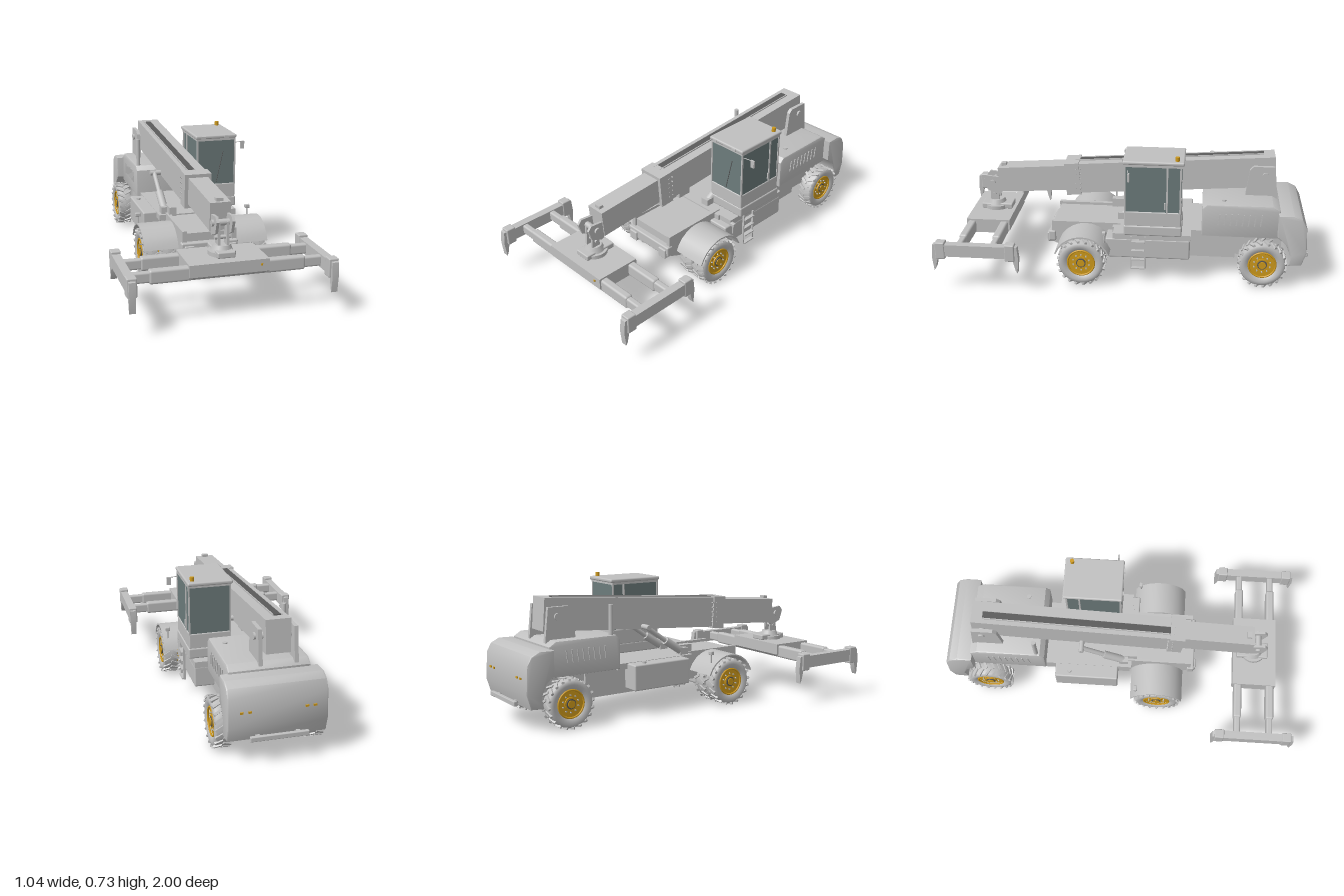
import * as THREE from 'three';
import { mergeGeometries, toCreasedNormals } from 'three/addons/utils/BufferGeometryUtils.js';
import { RoundedBoxGeometry } from 'three/addons/geometries/RoundedBoxGeometry.js';

const CX = 0.0475; // chassis centre line, the boom sits beside it at x = 0

export function createModel() {
  const root = new THREE.Group();
  root.name = 'mobileLiftingMachine';
  const mat = (name, color) => {
    const m = new THREE.MeshStandardMaterial({ color });
    m.name = name;
    return m;
  };
  const grey = mat('bodyGrey', 0xc0c0c0);
  const dark = mat('darkGrey', 0x5a5a5a);
  const glass = mat('tintedGlass', 0x6c7b7b);
  const gold = mat('amber', 0xcf9a1c);

  const add = (name, geo, m = grey, parent = root) => {
    const mesh = new THREE.Mesh(geo, m);
    mesh.name = name;
    parent.add(mesh);
    return mesh;
  };
  // box from its limits, optionally with rounded edges
  const box = (name, x0, x1, y0, y1, z0, z1, m = grey, r = 0) => {
    const s = [x1 - x0, y1 - y0, z1 - z0];
    const g = r ? new RoundedBoxGeometry(...s, 2, r) : new THREE.BoxGeometry(...s);
    return add(name, g.translate((x0 + x1) / 2, (y0 + y1) / 2, (z0 + z1) / 2), m);
  };
  // side profile of [z, y] points, extruded from x0 to x1
  const prof = (name, pts, x0, x1, m = grey, b = 0) => {
    const g = new THREE.ExtrudeGeometry(new THREE.Shape(pts.map(p => new THREE.Vector2(...p))), {
      depth: x1 - x0 - 2 * b, bevelEnabled: b > 0, bevelSize: b, bevelThickness: b, bevelOffset: -b, bevelSegments: 2,
    });
    return add(name, toCreasedNormals(g.rotateY(-Math.PI / 2).translate(x1 - b, 0, 0), 0.6), m);
  };
  // round bar between two points
  const rod = (name, a, b, r, m = grey, r2 = r) => {
    const p = new THREE.Vector3(...a), q = new THREE.Vector3(...b);
    const mesh = add(name, new THREE.CylinderGeometry(r2, r, p.distanceTo(q), 20), m);
    mesh.position.copy(p).add(q).multiplyScalar(0.5);
    mesh.quaternion.setFromUnitVectors(new THREE.Vector3(0, 1, 0), q.sub(p).normalize());
    return mesh;
  };

  // ---- wheels ----
  const R = 0.132, W = 0.084;
  const tyreGeo = new THREE.LatheGeometry([
    [0.074, -0.3], [0.08, -0.42], [0.1, -0.5], [0.116, -0.46], [0.123, -0.36],
    [0.125, 0], [0.123, 0.36], [0.116, 0.46], [0.1, 0.5], [0.08, 0.42], [0.074, 0.3],
  ].map(([r, y]) => new THREE.Vector2(r, y * W)), 40).rotateZ(-Math.PI / 2);
  const lugs = [];
  for (let i = 0; i < 20; i++) for (const s of [-1, 1]) {
    lugs.push(new THREE.BoxGeometry(W * 0.54, 0.012, 0.013).rotateY(s * 0.5)
      .translate(s * W * 0.25, R - 0.007, 0).rotateX((i + (s > 0 ? 0.5 : 0)) * Math.PI / 10));
  }
  const lugGeo = mergeGeometries(lugs);
  const disc = (r, w) => new THREE.CylinderGeometry(r, r, w, 32).rotateZ(Math.PI / 2);
  const bolts = [];
  for (let i = 0; i < 10; i++) bolts.push(disc(0.004, W * 0.72).translate(0, 0.045, 0).rotateX(i * Math.PI / 5));
  const boltGeo = mergeGeometries(bolts);
  const wheel = (name, x, z) => {
    const g = new THREE.Group();
    g.name = name;
    g.position.set(x, R, z);
    add('tyre', tyreGeo, grey, g);
    add('tread', lugGeo, grey, g);
    add('rimDisc', disc(0.075, W * 0.56), gold, g);
    for (const s of [-1, 1]) {
      add('rimLip', new THREE.TorusGeometry(0.072, 0.005, 8, 36).rotateY(Math.PI / 2).translate(s * W * 0.38, 0, 0), gold, g);
    }
    add('hubFlange', disc(0.034, W * 0.74), gold, g);
    add('hubRing', disc(0.026, W * 0.84), dark, g);
    add('hubCap', disc(0.02, W * 0.94), gold, g);
    add('bolts', boltGeo, grey, g);
    root.add(g);
  };
  for (const s of [-1, 1]) {
    wheel('frontOuterWheel', CX + s * 0.3, 0.225);
    wheel('frontInnerWheel', CX + s * 0.212, 0.225);
    wheel('rearWheel', CX + s * 0.237, -0.745);
    // arched front fender
    const arc = [];
    for (let i = 0; i <= 10; i++) arc.push([0.157, 0.35 + i * 0.244]);
    for (let i = 10; i >= 0; i--) arc.push([0.149, 0.35 + i * 0.244]);
    const fx = CX + s * 0.25;
    prof('frontFender', arc.map(([r, a]) => [0.22 + r * Math.cos(a), R + r * Math.sin(a)]), fx - 0.0925, fx + 0.0925);
    box('workLight', CX + s * 0.3175 - 0.014, CX + s * 0.3175 + 0.014, 0.295, 0.316, 0.09, 0.11, grey, 0.004);
    rod('workLightStem', [CX + s * 0.3175, 0.25, 0.1], [CX + s * 0.3175, 0.3, 0.1], 0.004);
  }

  // ---- chassis ----
  prof('mainFrame', [[0.4, 0.26], [0.4, 0.16], [0.33, 0.13], [-0.85, 0.13], [-0.85, 0.26]], -0.095, 0.19);
  for (const s of [-1, 1]) box('frameRail', CX + s * 0.145 - 0.012, CX + s * 0.145 + 0.012, 0.115, 0.27, -0.6, 0.06);
  for (const z of [0.225, -0.745]) {
    rod('axle', [CX - 0.24, R, z], [CX + 0.24, R, z], 0.035);
    box('differential', CX - 0.0875, CX + 0.0875, 0.08, 0.19, z - 0.06, z + 0.06, grey, 0.012);
  }
  box('deck', -0.14, 0.23, 0.25, 0.282, -0.42, 0.07);
  box('frontDeck', -0.095, 0.19, 0.25, 0.275, 0.07, 0.4);
  box('frontBeam', -0.11, 0.2, 0.17, 0.23, 0.39, 0.43, grey, 0.008);
  for (const s of [-1, 1]) {
    box('frontTowBlock', CX + s * 0.115 - 0.027, CX + s * 0.115 + 0.027, 0.16, 0.215, 0.4, 0.44, grey, 0.006);
    box('frontSideRail', CX + s * 0.137 - 0.012, CX + s * 0.137 + 0.012, 0.23, 0.29, 0.03, 0.41);
  }
  box('leftSideTank', 0.19, 0.31, 0.14, 0.252, -0.355, 0.1, grey, 0.008);
  box('rightSideTank', -0.215, -0.11, 0.14, 0.28, -0.36, -0.005, grey, 0.008);
  box('leftPlatform', 0.19, 0.31, 0.25, 0.283, -0.36, 0.06);
  rod('fillerCap', [-0.18, 0.278, -0.28], [-0.18, 0.29, -0.28], 0.012);
  box('valveBlock', -0.09, -0.05, 0.28, 0.33, 0.02, 0.1);

  // boarding ladder
  for (const z of [-0.04, -0.115]) box('ladderRail', 0.309, 0.322, 0.08, 0.27, z - 0.003, z + 0.003);
  for (let i = 0; i < 4; i++) box('ladderStep', 0.308, 0.33, 0.082 + i * 0.052, 0.088 + i * 0.052, -0.115, -0.04);

  // ---- engine housing and counterweight ----
  prof('engineHousing', [[-0.415, 0.26], [-0.415, 0.42], [-0.44, 0.445], [-0.79, 0.445], [-0.83, 0.42], [-0.83, 0.26]],
    -0.16, 0.255, grey, 0.008);
  for (let i = 0; i < 8; i++) for (const x of [-0.162, 0.257]) {
    const z = -0.5 - i * 0.032;
    prof('ventSlat', [[z, 0.33], [z - 0.006, 0.33], [z - 0.014, 0.395], [z - 0.008, 0.395]], x - 0.003, x + 0.003);
  }
  prof('counterweight', [[-0.82, 0.41], [-0.9, 0.412], [-0.945, 0.39], [-0.97, 0.345], [-0.978, 0.2], [-0.955, 0.125],
    [-0.88, 0.12], [-0.892, 0.18], [-0.868, 0.24], [-0.82, 0.285]], -0.2, 0.295, grey, 0.008);
  box('rearBumperBar', -0.1, 0.19, 0.13, 0.155, -1, -0.98, grey, 0.004);
  for (const s of [-1, 1]) {
    box('bumperBracket', CX + s * 0.1 - 0.01, CX + s * 0.1 + 0.01, 0.135, 0.15, -0.985, -0.95);
    for (const d of [-0.02, 0.02]) {
      const x = CX + s * 0.16 + d;
      box('rearLamp', x - 0.008, x + 0.008, 0.27, 0.28, -0.979, -0.971, gold);
    }
  }
  rod('exhaustStack', [-0.14, 0.42, -0.46], [-0.14, 0.605, -0.46], 0.012);
  rod('hoodCap', [0.19, 0.44, -0.53], [0.19, 0.452, -0.53], 0.012);

  // ---- boom ----
  const top = z => 0.598 - 0.07 * z;
  const beam = (name, z0, z1, up, down, w, m = grey) => prof(name, [[z0, top(z0) + up], [z1, top(z1) + up],
    [z1 - (up - down) * 0.07, top(z1) + down], [z0 - (up - down) * 0.07, top(z0) + down]], -w, w, m);
  beam('outerBoom', -0.8, 0.33, 0, -0.17, 0.063);
  beam('innerBoom', 0.2, 0.735, -0.012, -0.155, 0.053);
  beam('boomCollar', 0.275, 0.355, 0.006, -0.178, 0.072);
  for (const s of [-1, 1]) {
    for (let i = 0; i < 5; i++) for (const z of [0.265, 0.29]) {
      const y = top(z) - 0.03 - i * 0.028;
      rod('wearPadBolt', [s * 0.06, y, z], [s * 0.075, y, z], 0.004);
    }
    // rear mounting tower and lift cylinder
    const px = s * 0.09;
    prof('boomPivotPlate', [[-0.645, 0.43], [-0.665, 0.59], [-0.685, 0.61], [-0.8, 0.61], [-0.82, 0.43]], px - 0.01, px + 0.01);
    rod('liftCylinder', [s * 0.1, 0.3, 0.02], [s * 0.1, 0.37, -0.09], 0.022);
    rod('liftRod', [s * 0.1, 0.37, -0.09], [s * 0.1, 0.455, -0.21], 0.013);
    box('liftCylinderFoot', s * 0.1 - 0.022, s * 0.1 + 0.022, 0.28, 0.32, 0, 0.05);
  }
  rod('liftPin', [-0.125, 0.455, -0.21], [0.125, 0.455, -0.21], 0.014);
  rod('boomPivotPin', [-0.11, 0.56, -0.75], [0.11, 0.56, -0.75], 0.018);
  const strip = beam('boomTopSlot', -0.74, 0.3, 0.005, -0.002, 0.018, dark);
  strip.position.x = -0.014;
  for (const x of [-0.036, 0.008]) beam('slotEdge', -0.74, 0.3, 0.007, -0.002, 0.003).position.x = x;
  box('boomTipBlock', -0.018, 0.018, 0.53, 0.552, 0.695, 0.72);

  // boom head with hinge and rotator
  for (const s of [-1, 1]) {
    const x = s * 0.04;
    prof('headPlate', [[0.7, 0.4], [0.7, 0.475], [0.8, 0.485], [0.82, 0.46], [0.8, 0.4], [0.74, 0.375]], x - 0.007, x + 0.007);
    prof('hangerLink', [[0.75, 0.45], [0.785, 0.45], [0.79, 0.33], [0.74, 0.33]], s * 0.022 - 0.006, s * 0.022 + 0.006);
  }
  rod('headPin', [-0.058, 0.445, 0.768], [0.058, 0.445, 0.768], 0.016);
  rod('lowerPin', [-0.04, 0.37, 0.765], [0.04, 0.37, 0.765], 0.01);
  rod('rotatorBase', [0, 0.28, 0.76], [0, 0.305, 0.76], 0.07);
  rod('rotatorBody', [0, 0.305, 0.76], [0, 0.335, 0.76], 0.055, grey, 0.042);
  box('rotatorBlock', -0.045, 0.045, 0.285, 0.315, 0.665, 0.84, grey, 0.006);

  // ---- spreader ----
  box('spreaderBody', -0.2, 0.2, 0.222, 0.284, 0.648, 0.89);
  prof('spreaderKeel', [[0.65, 0.223], [0.89, 0.223], [0.87, 0.205], [0.67, 0.205]], -0.2, 0.2);
  box('spreaderMarker', 0.155, 0.165, 0.253, 0.263, 0.888, 0.894, gold);
  for (const s of [-1, 1]) {
    const span = (name, a, b, ...rest) => box(name, Math.min(s * a, s * b), Math.max(s * a, s * b), ...rest);
    for (const z of [0.68, 0.86]) {
      span('outerTube', 0.18, 0.39, 0.205, 0.275, z - 0.022, z + 0.022, grey, 0.012);
      span('innerTube', 0.38, 0.48, 0.213, 0.267, z - 0.017, z + 0.017, grey, 0.01);
    }
    span('endBeam', 0.472, 0.515, 0.205, 0.272, 0.57, 0.97);
    for (const d of [-1, 1]) {
      const zc = 0.768, z = v => zc + d * v;
      span('cornerBlock', 0.468, 0.518, 0.19, 0.285, Math.min(z(0.16), z(0.212)), Math.max(z(0.16), z(0.212)), grey, 0.006);
      const lx = s * 0.495;
      prof('cornerLeg', [[z(0.2), 0.275], [z(0.225), 0.27], [z(0.232), 0.2], [z(0.224), 0.12], [z(0.214), 0.14], [z(0.2), 0.2]],
        lx - 0.016, lx + 0.016);
    }
  }

  // ---- cab ----
  box('cabFoot', 0.1, 0.33, 0.283, 0.34, -0.31, 0, grey, 0.008);
  box('cabLowerShell', 0.1, 0.325, 0.335, 0.42, -0.305, -0.003, grey, 0.006);
  box('cabGlass', 0.105, 0.321, 0.418, 0.68, -0.301, -0.007, glass);
  for (const x of [0.098, 0.318]) for (const z of [-0.304, -0.234, -0.012]) {
    box('cabPost', x, x + 0.008, 0.415, 0.682, z, z + 0.009);
  }
  box('roofFrame', 0.098, 0.326, 0.672, 0.688, -0.305, -0.003);
  box('cabRoof', 0.09, 0.33, 0.684, 0.704, -0.318, 0.004, grey, 0.008);
  for (const x of [0.135, 0.27]) box('roofLamp', x - 0.012, x + 0.012, 0.686, 0.7, 0, 0.01);
  rod('wiper', [0.212, 0.43, -0.004], [0.252, 0.61, -0.004], 0.002, dark);
  box('doorHandle', 0.322, 0.33, 0.44, 0.475, -0.222, -0.215);
  rod('beacon', [0.3, 0.7, -0.28], [0.3, 0.726, -0.28], 0.011, gold);
  rod('mirrorArm', [0.32, 0.653, -0.02], [0.38, 0.653, -0.03], 0.002);
  box('mirror', 0.363, 0.386, 0.612, 0.655, -0.036, -0.026);

  return root;
}
